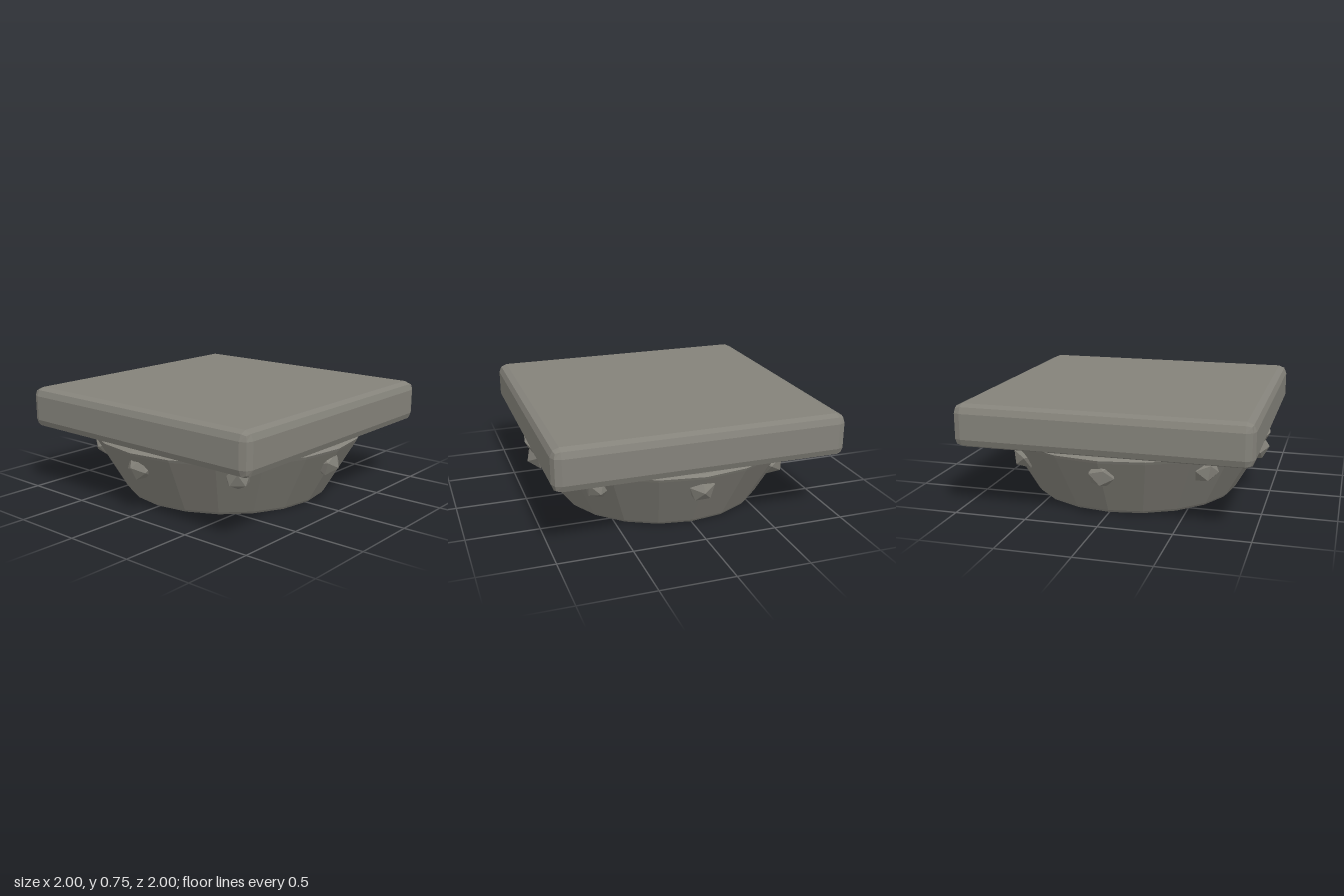
import * as THREE from 'three';

const stone = new THREE.MeshStandardMaterial({ color: 0x84827a, flatShading: true });
stone.name = 'warm grey stone';

// Box whose edges are rounded off with two flat bevels
function bevelledBox(w, h, d, r) {
  const geo = new THREE.BoxGeometry(2, 2, 2, 3, 3, 3);
  const pos = geo.attributes.position;
  const half = new THREE.Vector3(w / 2 - r, h / 2 - r, d / 2 - r);
  const p = new THREE.Vector3(), dir = new THREE.Vector3();
  for (let i = 0; i < pos.count; i++) {
    p.fromBufferAttribute(pos, i);
    // outermost grid lines point along the bevel, inner lines stay on the flat
    dir.set(...p.toArray().map(v => (Math.abs(v) > 0.9 ? Math.sign(v) : 0))).normalize();
    p.set(Math.sign(p.x), Math.sign(p.y), Math.sign(p.z)).multiply(half).addScaledVector(dir, r);
    pos.setXYZ(i, p.x, p.y, p.z);
  }
  geo.computeVertexNormals();
  return geo;
}

function add(parent, geo, name) {
  const mesh = new THREE.Mesh(geo, stone);
  mesh.name = name;
  parent.add(mesh);
  return mesh;
}

export function createModel() {
  const model = new THREE.Group();
  model.name = 'columnCapital';

  // Square slab on top
  add(model, bevelledBox(2, 0.295, 2, 0.06), 'topSlab').position.y = 0.6025;

  // Flared twenty-sided body with bevelled rims
  const profile = [[0, 0], [0.72, 0], [0.738, 0.007], [0.752, 0.025],
    [0.978, 0.42], [0.988, 0.44], [0.965, 0.455], [0, 0.455]]
    .map(([x, y]) => new THREE.Vector2(x, y));
  add(model, new THREE.LatheGeometry(profile, 20), 'flaredBody');

  // Ring of eight faceted studs, each turned a little differently
  const studs = new THREE.Group();
  studs.name = 'studRing';
  const studGeo = new THREE.IcosahedronGeometry(0.1, 0);
  for (let i = 0; i < 8; i++) {
    const a = (i / 8) * Math.PI * 2;
    const stud = add(studs, studGeo, 'stud');
    stud.position.set(Math.sin(a) * 0.885, 0.33, Math.cos(a) * 0.885);
    stud.rotation.set(i * 1.3 + 0.5, a + i * 0.7, i * 0.9);
  }
  model.add(studs);
  return model;
}
